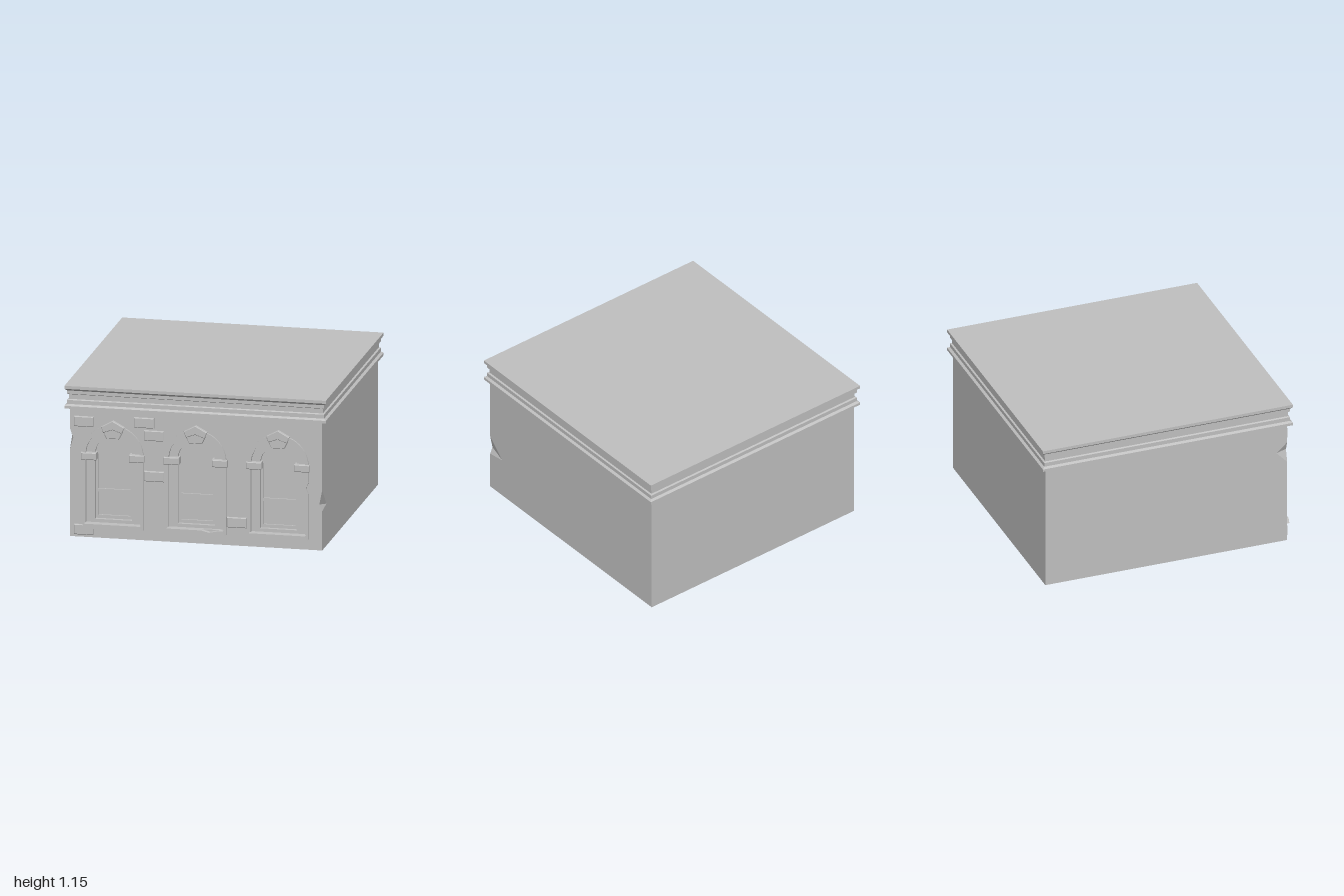
import * as THREE from 'three';

const stone = new THREE.MeshStandardMaterial({ color: 0xc0c0c0 });
stone.name = 'stone';

const HALF = 0.953, FRONT = 0.945, BACK = -0.965, TOP = 1.0, SPRING = 0.635;
const CENTRES = [-0.625, 0, 0.622];

const polygon = (pts) => new THREE.Shape(pts.map(([x, y]) => new THREE.Vector2(x, y)));

function part(name, geometry, parent) {
  const flat = geometry.index ? geometry.toNonIndexed() : geometry;
  flat.computeVertexNormals();
  const mesh = new THREE.Mesh(flat, stone);
  mesh.name = name;
  parent.add(mesh);
  return mesh;
}

// Extrudes a front outline between two z values, with an optional bevelled front
function slab(shape, z0, z1, bevel = 0) {
  const geometry = new THREE.ExtrudeGeometry(shape, {
    depth: z1 - z0 - bevel, curveSegments: 12, bevelEnabled: bevel > 0,
    bevelThickness: bevel, bevelSize: bevel, bevelOffset: -bevel, bevelSegments: 1,
  });
  return geometry.translate(0, 0, z0);
}

const rect = (x0, x1, y0, y1) => polygon([[x0, y0], [x1, y0], [x1, y1], [x0, y1]]);

// Round-headed outline; chips are small triangular bites [side, y] in the jambs
function arch(half, y0, cx = 0, chips = []) {
  const s = new THREE.Shape();
  const bite = (side, y, dir) => {
    s.lineTo(cx + side * half, y - dir * 0.045);
    s.lineTo(cx + side * (half - 0.018), y);
    s.lineTo(cx + side * half, y + dir * 0.045);
  };
  s.moveTo(cx - half, y0);
  s.lineTo(cx + half, y0);
  chips.filter((c) => c[0] > 0).forEach((c) => bite(1, c[1], 1));
  s.lineTo(cx + half, SPRING);
  s.absarc(cx, SPRING, half, 0, Math.PI, false);
  chips.filter((c) => c[0] < 0).forEach((c) => bite(-1, c[1], -1));
  s.closePath();
  return s;
}

function ring(outer, inner) {
  outer.holes.push(inner);
  return outer;
}

// Wall faces with a broken chip on each front corner
function buildWalls(group) {
  const chips = [
    { s: 1, top: 0.46, low: 0.30, inX: 0.022, inY: 0.35, sideY: 0.32, sideZ: 0.80 },
    { s: -1, top: 0.825, low: 0.66, inX: 0.027, inY: 0.755, sideY: 0.75, sideZ: 0.86 },
  ];
  const [r, l] = chips;
  const front = polygon([
    [-HALF, 0], [HALF, 0],
    [HALF, r.low], [HALF - r.inX, r.inY], [HALF, r.top], [HALF, TOP],
    [-HALF, TOP], [-HALF, l.top], [-HALF + l.inX, l.inY], [-HALF, l.low],
  ]);
  CENTRES.forEach((cx) => front.holes.push(arch(0.215, 0.1, cx)));
  part('frontWall', new THREE.ShapeGeometry(front, 12).translate(0, 0, FRONT), group);

  for (const { s, top, low, inX, inY, sideY, sideZ } of chips) {
    const outline = polygon([
      [BACK, 0], [FRONT, 0], [FRONT, low], [sideZ, sideY], [FRONT, top], [FRONT, TOP], [BACK, TOP],
    ].map(([z, y]) => [-s * z, y]));
    const side = new THREE.ShapeGeometry(outline).rotateY(s * Math.PI / 2).translate(s * HALF, 0, 0);
    part(s > 0 ? 'leftWall' : 'rightWall', side, group);

    const A = [s * HALF, top, FRONT], B = [s * HALF, low, FRONT];
    const F = [s * (HALF - inX), inY, FRONT], S = [s * HALF, sideY, sideZ];
    const corners = s > 0 ? [A, F, S, F, B, S] : [A, S, F, F, S, B];
    const chip = new THREE.BufferGeometry();
    chip.setAttribute('position', new THREE.Float32BufferAttribute(corners.flat(), 3));
    part('cornerChip', chip, group);
  }

  const back = new THREE.PlaneGeometry(2 * HALF, TOP).rotateY(Math.PI).translate(0, TOP / 2, BACK);
  part('backWall', back, group);
  const base = new THREE.PlaneGeometry(2 * HALF, FRONT - BACK).rotateX(Math.PI / 2);
  part('base', base.translate(0, 0, (FRONT + BACK) / 2), group);
}

// Stepped moulding swept round the four sides, closed by the flat roof
function buildCornice(group) {
  const profile = [
    [0, 0.98], [0.987, 0.98], [0.987, 1.0], [0.97, 1.012], [0.97, 1.042], [0.958, 1.048],
    [0.958, 1.084], [0.97, 1.09], [0.97, 1.115], [0.987, 1.13], [0.987, 1.153], [0, 1.153],
  ].map(([w, y]) => new THREE.Vector2(w * Math.SQRT2, y));
  const geometry = new THREE.LatheGeometry(profile, 4, Math.PI / 4).translate(0, 0, -0.01);
  part('cornice', geometry, group);
}

function buildWindow(cx, chips, brokenSill) {
  const win = new THREE.Group();
  win.name = 'archedWindow';
  win.position.x = cx;

  // Stepped surround
  part('outerMoulding', slab(ring(arch(0.23, 0.08, 0, chips), arch(0.205, 0.115)), 0.9, 0.962), win);
  part('innerSurround', slab(ring(arch(0.21, 0.1), arch(0.14, 0.14)), 0.87, 0.935), win);

  // Sash with two recessed panes
  const sash = arch(0.145, 0.135);
  sash.holes.push(rect(-0.12, 0.12, 0.365, 0.63), rect(-0.12, 0.12, 0.165, 0.34));
  part('sash', slab(sash, 0.87, 0.905), win);
  part('panes', slab(rect(-0.13, 0.13, 0.15, 0.64), 0.87, 0.89), win);

  // Imposts at the spring line
  for (const s of [-1, 1]) {
    const block = slab(rect(-0.058, 0.058, 0.595, 0.65), 0.89, 0.972, 0.005);
    part('impost', block.translate(s * 0.182, 0, 0), win);
  }

  // Two-stepped keystone
  const cap = [[-0.088, 0.855], [-0.07, 0.81], [0, 0.835], [0.07, 0.81], [0.088, 0.855], [0, 0.903]];
  const lower = [[-0.048, 0.765], [0.048, 0.765], [0.072, 0.815], [0, 0.84], [-0.072, 0.815]];
  part('keystoneCap', slab(polygon(cap), 0.9, 0.976, 0.004), win);
  part('keystone', slab(polygon(lower), 0.9, 0.968, 0.004), win);

  // Sill, one of them with a broken upper edge
  const dip = brokenSill ? [[0.18, 0.115], [0.11, 0.1], [0.05, 0.115]] : [];
  const sill = [[-0.23, 0.08], [0.23, 0.08], [0.212, 0.115], ...dip, [-0.212, 0.115]];
  part('sill', slab(polygon(sill), 0.9, 1.0), win);
  return win;
}

export function createModel() {
  const model = new THREE.Group();
  model.name = 'building';
  buildWalls(model);
  buildCornice(model);

  const jambChips = [[[-1, 0.22]], [[-1, 0.43]], [[1, 0.47]]];
  CENTRES.forEach((cx, i) => model.add(buildWindow(cx, jambChips[i], i === 1)));

  // Raised bricks, given by lower left corner
  const bricks = [
    [-0.92, 0.845], [-0.465, 0.86], [-0.39, 0.765], [-0.39, 0.455], [0.235, 0.14], [-0.92, 0.02],
  ];
  for (const [x, y] of bricks) {
    part('raisedBrick', slab(rect(x, x + 0.15, y, y + 0.077), 0.93, 0.963, 0.005), model);
  }
  return model;
}
